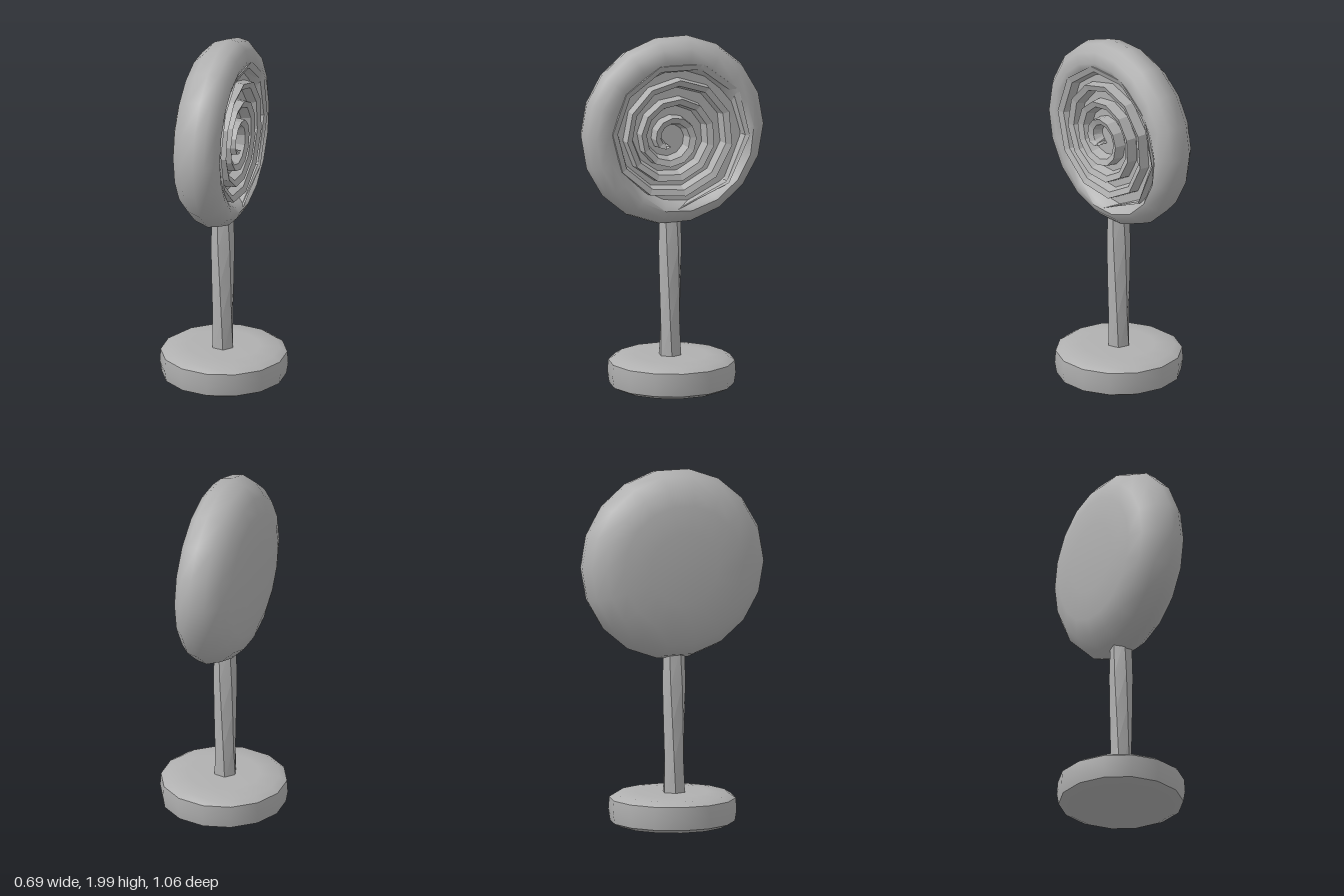
import * as THREE from 'three';
import { mergeVertices, toCreasedNormals } from 'three/addons/utils/BufferGeometryUtils.js';

const grey = new THREE.MeshStandardMaterial({ color: 0xb0b0b0 });
grey.name = 'plain grey';

const v2 = (pairs) => pairs.map(([x, y]) => new THREE.Vector2(x, y));

function part(name, geometry, parent) {
  const mesh = new THREE.Mesh(geometry, grey);
  mesh.name = name;
  parent.add(mesh);
  return mesh;
}

// Round crown facing +x: domed back, rounded rim, shallow dish on the front
function crownGeometry() {
  const profile = v2([[0, -0.195], [0.2, -0.193], [0.35, -0.175], [0.44, -0.145], [0.505, -0.08],
    [0.533, 0], [0.522, 0.06], [0.48, 0.105], [0.42, 0.12], [0.375, 0.105], [0.345, 0.06], [0, 0.05]]);
  let g = new THREE.LatheGeometry(profile, 18);
  g.rotateZ(-Math.PI / 2);
  g.deleteAttribute('uv');
  g.deleteAttribute('normal');
  g = mergeVertices(g, 1e-4);
  // The dish widens at the lower back, where the spiral runs out into the rim
  const p = g.attributes.position;
  for (let i = 0; i < p.count; i++) {
    const y = p.getY(i), z = p.getZ(i), r = Math.hypot(y, z);
    if (p.getX(i) < 0.055 || r < 0.3 || r > 0.45) continue;
    const w = Math.max(0, Math.cos(Math.atan2(y, -z) + 0.9));
    const k = 1 + (r > 0.4 ? 0.035 : 0.065) * w / r;
    p.setY(i, y * k);
    p.setZ(i, z * k);
  }
  return toCreasedNormals(g, 0.9);
}

// Faceted ridge winding inward to the middle of the dish
function spiralGeometry() {
  const turns = 4, n = 44, rows = [], pos = [];
  for (let i = 0; i <= n; i++) {
    const t = i / n, a = -Math.PI / 2 + 2 * Math.PI * turns * Math.pow(t, 0.92);
    const turn = (a + Math.PI / 2) / (2 * Math.PI);
    const r = 0.43 - 0.097 * turn;
    const half = 0.034 * Math.min(1, i / 3, (n - i) / 2);
    const cy = -0.03 * t, cz = 0.045 * t;
    const section = [[half, 0.03], [half * 0.75, 0.118], [-half * 0.25, 0.105], [-half, 0.03]];
    rows.push(section.map(([dr, x]) => [x, cy + (r + dr) * Math.sin(a), cz - (r + dr) * Math.cos(a)]));
  }
  for (let i = 0; i < n; i++) {
    for (let j = 0; j < 3; j++) {
      const a = rows[i][j], b = rows[i + 1][j], c = rows[i + 1][j + 1], d = rows[i][j + 1];
      pos.push(...a, ...b, ...d, ...b, ...c, ...d);
    }
  }
  const g = new THREE.BufferGeometry();
  g.setAttribute('position', new THREE.Float32BufferAttribute(pos, 3));
  g.computeVertexNormals();
  return g;
}

// Slightly twisted, uneven stem
function stemGeometry() {
  const g = new THREE.CylinderGeometry(0.062, 0.064, 0.84, 6, 4);
  const p = g.attributes.position;
  for (let i = 0; i < p.count; i++) {
    const y = p.getY(i), x = p.getX(i), z = p.getZ(i), a = 0.7 * y;
    const k = 1 + 0.05 * Math.sin(9 * y);
    p.setX(i, k * (x * Math.cos(a) - z * Math.sin(a)));
    p.setZ(i, k * (x * Math.sin(a) + z * Math.cos(a)));
  }
  return toCreasedNormals(g, 0.8);
}

export function createModel() {
  const model = new THREE.Group();
  model.name = 'spiralTree';

  // Base: low rounded puck
  const base = new THREE.LatheGeometry(v2([[0, 0.005], [0.3, 0.008], [0.345, 0.03], [0.355, 0.09],
    [0.35, 0.16], [0.31, 0.185], [0.2, 0.192], [0, 0.19]]), 14);
  part('base', toCreasedNormals(base, 0.9), model);

  // Stem
  part('stem', stemGeometry(), model).position.set(-0.005, 0.58, 0.007);

  // Crown, turned very slightly about the stem
  const crown = new THREE.Group();
  crown.name = 'crown';
  crown.position.set(-0.005, 1.468, 0);
  crown.rotation.y = -0.045;
  part('crownDisc', crownGeometry(), crown);
  part('spiralRidge', spiralGeometry(), crown);
  model.add(crown);
  return model;
}
